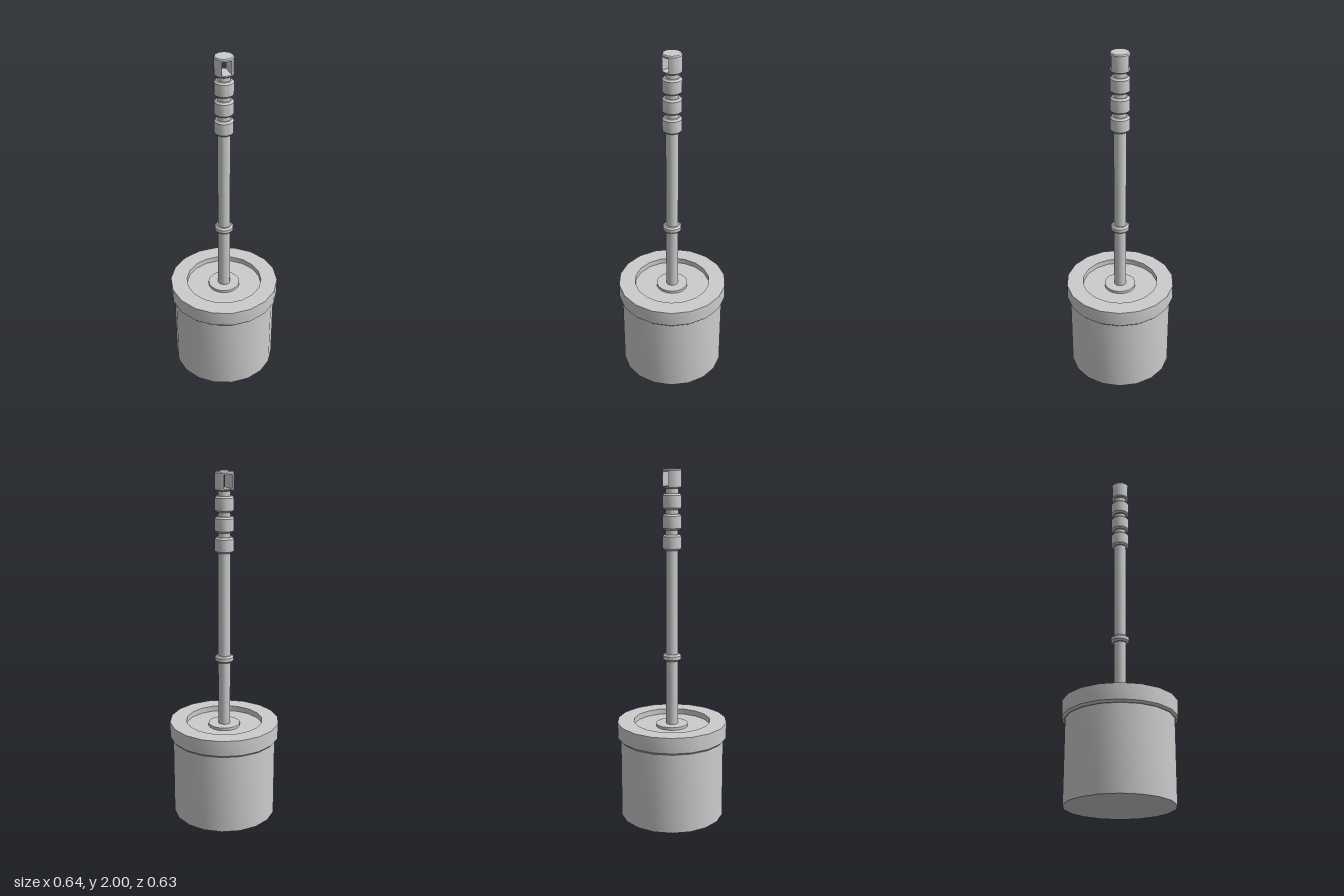
import * as THREE from 'three';
import { toCreasedNormals } from 'three/addons/utils/BufferGeometryUtils.js';

const SIDES = 18;
const CREASE = 0.5;

export function createModel() {
  const model = new THREE.Group();
  model.name = 'toiletBrush';
  const grey = new THREE.MeshStandardMaterial({ color: 0xcccccc });
  grey.name = 'grey plastic';

  function add(name, geometry, parent = model) {
    const mesh = new THREE.Mesh(toCreasedNormals(geometry, CREASE), grey);
    mesh.name = name;
    parent.add(mesh);
    return mesh;
  }

  // Turned part: profile of [radius, height], from bottom to top
  function turned(name, profile, parent) {
    const points = profile.map(([r, y]) => new THREE.Vector2(r, y));
    const geometry = new THREE.LatheGeometry(points, SIDES, Math.PI / 2);
    return add(name, geometry, parent);
  }

  // Solid ring with bevelled edges
  function bevelled(name, r, y0, y1, bevel, parent) {
    return turned(name, [
      [0, y0], [r - bevel, y0], [r, y0 + bevel], [r, y1 - bevel], [r - bevel, y1], [0, y1],
    ], parent);
  }

  // Pot with overhanging rim and sunken lid
  turned('pot', [[0, 0], [0.3, 0], [0.3, 0.48]]);
  turned('rim', [
    [0.298, 0.468], [0.306, 0.468], [0.318, 0.48], [0.318, 0.57],
    [0.222, 0.57], [0.222, 0.538],
  ]);
  turned('lid', [[0.222, 0.538], [0, 0.538]]);
  turned('lidCollar', [[0.092, 0.538], [0.092, 0.554], [0, 0.554]]);

  // Handle: stem, stop ring and grips
  turned('stem', [[0.035, 0.55], [0.035, 1.905]]);
  bevelled('stopRing', 0.053, 0.93, 0.97, 0.01);
  for (const y of [1.56, 1.672, 1.783]) bevelled('grip', 0.053, y, y + 0.087, 0.01);

  // Hanging end: two plates joined by side cheeks, with a slot through z
  const end = new THREE.Group();
  end.name = 'hangingEnd';
  model.add(end);
  turned('endBase', [[0, 1.898], [0.048, 1.898], [0.053, 1.904], [0.053, 1.91], [0, 1.91]], end);
  turned('endCap', [[0, 1.985], [0.053, 1.985], [0.053, 1.993], [0.048, 2], [0, 2]], end);
  const arc = [];
  for (let i = -3; i <= 3; i++) {
    const a = (i * 2 * Math.PI) / SIDES;
    arc.push(new THREE.Vector2(0.053 * Math.cos(a), 0.053 * Math.sin(a)));
  }
  for (const turn of [0, Math.PI]) {
    const cheek = new THREE.ExtrudeGeometry(new THREE.Shape(arc), { depth: 0.075, bevelEnabled: false });
    cheek.rotateX(-Math.PI / 2).rotateY(turn).translate(0, 1.91, 0);
    add('endCheek', cheek, end);
  }
  return model;
}
